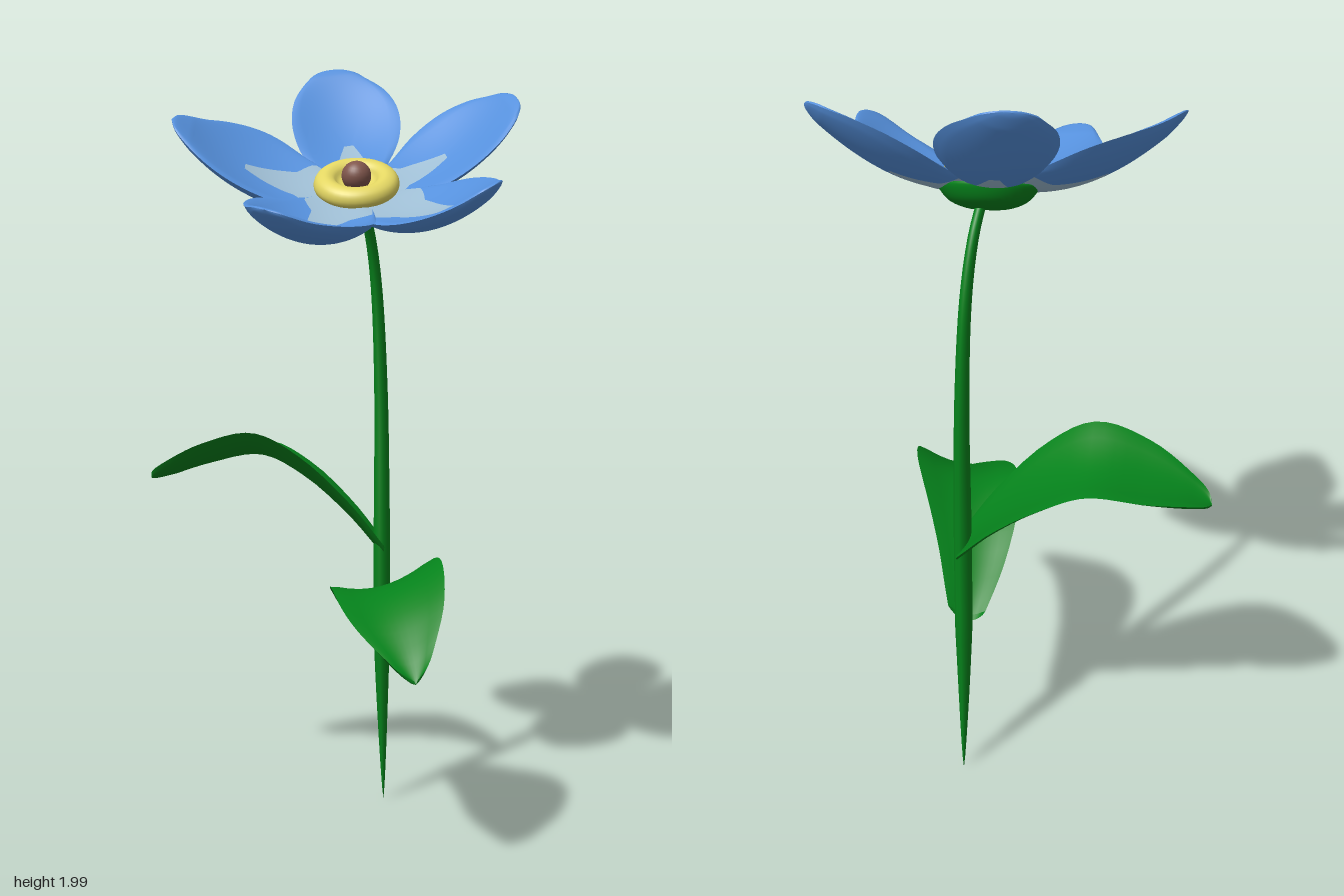
import * as THREE from 'three';
import { mergeVertices } from 'three/addons/utils/BufferGeometryUtils.js';

const V = (x, y, z) => new THREE.Vector3(x, y, z);
const mat = (name, color) => {
  const m = new THREE.MeshStandardMaterial({ color });
  m.name = name;
  return m;
};

// Outline curves: x = distance along the blade, y = half width as a fraction
const curve2 = (pts) => new THREE.SplineCurve(pts.map(([x, y]) => new THREE.Vector2(x, y)));
const pointedOutline = curve2([[0, 0.4], [0.18, 0.74], [0.38, 0.98], [0.55, 1], [0.72, 0.84], [0.87, 0.54], [0.965, 0.28], [1, 0]]);
const bluntOutline = curve2([[0, 0.32], [0.2, 0.62], [0.4, 0.92], [0.6, 1], [0.78, 0.86], [0.92, 0.55], [0.985, 0.27], [1, 0]]);
const leafOutline = curve2([[0, 0.36], [0.15, 0.6], [0.42, 0.95], [0.6, 1], [0.78, 0.82], [0.93, 0.42], [0.985, 0.2], [1, 0]]);

// Half width of the pale star ray, by distance as a fraction of the ray's length
const RAY = [[0, 0.98], [0.3, 0.92], [0.48, 0.42], [0.7, 0.26], [1, 0.07], [1.4, 0.33], [9, 0.33]];
function rayWidth(t) {
  const i = RAY.findIndex(([x]) => x > t);
  const [x0, y0] = RAY[i - 1], [x1, y1] = RAY[i];
  return y0 + (y1 - y0) * (t - x0) / (x1 - x0);
}

// Thin closed blade: upper and lower skins over surface(t, w, v), v across from -1 to 1.
// The middle third of the columns follows the ray, which goes to the second material.
function blade(profile, surface, thickness, nu, nv, rayLength = 0) {
  const pos = [], plain = [], marked = [];
  for (const side of [1, -1]) {
    const base = pos.length / 3;
    const ts = [];
    for (let i = 0; i <= nu; i++) {
      const p = profile.getPoint(i / nu);
      const t = THREE.MathUtils.clamp(p.x, 0, 1), w = Math.max(p.y, 0);
      const m = rayLength ? rayWidth(t / rayLength) : 1 / 3;
      ts.push(t);
      for (let j = 0; j <= nv; j++) {
        const k = (j / nv) * 2 - 1, a = Math.abs(k) * 3;
        const v = Math.sign(k) * (a <= 1 ? a * m : m + (a - 1) / 2 * (1 - m));
        const q = surface(t, w, v);
        q.y += side * thickness * Math.sqrt(Math.max(0, 1 - v * v)) * Math.min(1, w * 2);
        pos.push(q.x, q.y, q.z);
      }
    }
    for (let i = 0; i < nu; i++) for (let j = 0; j < nv; j++) {
      const a = base + i * (nv + 1) + j, b = a + nv + 1;
      const inRay = ts[i + 1] < rayLength && j >= nv / 3 && j < nv * 2 / 3;
      const list = inRay ? marked : plain;
      if (side > 0) list.push(a, b, a + 1, b, b + 1, a + 1);
      else list.push(a, a + 1, b, b, a + 1, b + 1);
    }
  }
  const g = new THREE.BufferGeometry();
  g.setAttribute('position', new THREE.Float32BufferAttribute(pos, 3));
  g.setIndex([...plain, ...marked]);
  g.addGroup(0, plain.length, 0);
  g.addGroup(plain.length, marked.length, 1);
  g.computeVertexNormals();
  return g;
}

// Petal on a tilted bowl around the flower centre: sagging middle, raised edges, sideways bend
const CX = 0.09, CZ = -0.07;
function petalGeometry(profile, tipX, tipZ, halfWidth, bend, rayLength) {
  const d = V(tipX - CX, 0, tipZ - CZ);
  const s = V(d.z, 0, -d.x).normalize();
  const surface = (t, w, v) => {
    const along = 0.07 + 0.93 * t, across = v * w * halfWidth, arch = Math.sin(Math.PI * t);
    const side = across + bend * arch;
    const dx = d.x * along + s.x * side, dz = d.z * along + s.z * side;
    const y = 1.655 - 0.08 * dx - 0.5 * dz + 0.9 * (dx * dx + dz * dz) + 1.5 * across * across - 0.024 * arch;
    return V(CX + dx, y, CZ + dz);
  };
  return blade(profile, surface, 0.019, 60, 24, rayLength);
}

// Arching leaf: one edge rolled up, both edges cupped
function leafGeometry(points, halfWidth, roll, cup) {
  const spine = new THREE.CatmullRomCurve3(points.map((p) => V(...p)));
  const d = spine.getPoint(1).sub(spine.getPoint(0));
  const s = V(d.z, 0, -d.x).normalize();
  const surface = (t, w, v) => {
    const p = spine.getPointAt(t).addScaledVector(s, v * w * halfWidth);
    p.y += (roll * v * w + cup * v * v * Math.sqrt(w));
    return p;
  };
  return blade(leafOutline, surface, 0.013, 32, 12);
}

// Oval stem with a pointed foot
function stemGeometry() {
  const path = new THREE.CatmullRomCurve3([
    V(0.135, 0, -0.25), V(0.132, 0.4, -0.235), V(0.13, 0.8, -0.232), V(0.125, 1.15, -0.235),
    V(0.115, 1.42, -0.217), V(0.105, 1.56, -0.175), V(0.095, 1.64, -0.12),
  ]);
  const n = 48, sides = 12;
  const g = new THREE.TubeGeometry(path, n, 1, sides, false);
  const p = g.attributes.position;
  for (let i = 0; i <= n; i++) {
    const t = i / n, c = path.getPointAt(t);
    const r = Math.min(1, Math.pow(t / 0.28, 0.75)) * (1 - 0.45 * Math.max(0, (t - 0.45) / 0.55));
    for (let j = 0; j <= sides; j++) {
      const k = i * (sides + 1) + j;
      p.setXYZ(k, c.x + (p.getX(k) - c.x) * r * 0.022, c.y + (p.getY(k) - c.y) * r * 0.03,
        c.z + (p.getZ(k) - c.z) * r * 0.036);
    }
  }
  g.deleteAttribute('uv');
  g.deleteAttribute('normal');
  const merged = mergeVertices(g, 1e-5);
  merged.computeVertexNormals();
  return merged;
}

const lathe = (pts) => new THREE.LatheGeometry(
  curve2(pts).getPoints(28).map((p) => new THREE.Vector2(Math.max(p.x, 0), p.y)), 36);

export function createModel() {
  const green = mat('leaf green', 0x05821b);
  const blue = mat('petal blue', 0x5590dc);
  const pale = mat('pale star blue', 0x9dbcd2);
  const yellow = mat('centre yellow', 0xe2d562);
  const brown = mat('pistil brown', 0x80564c);
  yellow.side = green.side = THREE.DoubleSide;

  const model = new THREE.Group();
  model.name = 'flower';
  const add = (name, geometry, material, parent = model) => {
    const mesh = new THREE.Mesh(geometry, material);
    mesh.name = name;
    parent.add(mesh);
    return mesh;
  };

  add('stem', stemGeometry(), green);

  // Leaves
  add('upperLeaf', leafGeometry([
    [0.14, 0.695, -0.235], [0.045, 0.805, -0.23], [-0.08, 0.912, -0.225],
    [-0.2, 0.97, -0.215], [-0.34, 0.945, -0.2], [-0.5, 0.888, -0.175],
  ], 0.137, 0.03, 0.035), green);
  add('lowerLeaf', leafGeometry([
    [0.128, 0.475, -0.215], [0.142, 0.555, -0.1], [0.172, 0.64, 0.02],
    [0.215, 0.675, 0.14], [0.265, 0.635, 0.27], [0.345, 0.52, 0.425],
  ], 0.136, 0.035, 0.048), green);

  // Petals: outline, tip x, tip z, half width, bend, ray length
  const petals = new THREE.Group();
  petals.name = 'petals';
  model.add(petals);
  [
    [bluntOutline, -0.055, -0.43, 0.143, -0.015, 0.48],
    [bluntOutline, 0.475, -0.28, 0.13, 0.022, 0.54],
    [pointedOutline, 0.49, 0.225, 0.132, 0.03, 0.64],
    [pointedOutline, -0.03, 0.4, 0.152, 0, 0.5],
    [pointedOutline, -0.375, 0.01, 0.138, -0.022, 0.58],
  ].forEach((p, i) => add('petal' + (i + 1), petalGeometry(...p), [blue, pale], petals));

  // Tilted centre
  const centre = new THREE.Group();
  centre.name = 'flowerCentre';
  centre.position.set(CX, 1.68, -0.08);
  centre.quaternion.setFromUnitVectors(V(0, 1, 0), V(0.08, 1, 0.5).normalize());
  model.add(centre);
  add('ring', lathe([[0.095, -0.02], [0.11, 0.007], [0.102, 0.03], [0.08, 0.04], [0.06, 0.034], [0.042, 0.016], [0, 0.008]]), yellow, centre);
  add('pistil', new THREE.SphereGeometry(0.038, 24, 16), brown, centre).position.y = 0.034;
  add('calyx', lathe([[0, -0.055], [0.05, -0.052], [0.095, -0.034], [0.122, 0], [0.1, 0.006], [0, 0.006]]), green, centre)
    .position.y = -0.028;

  return model;
}
